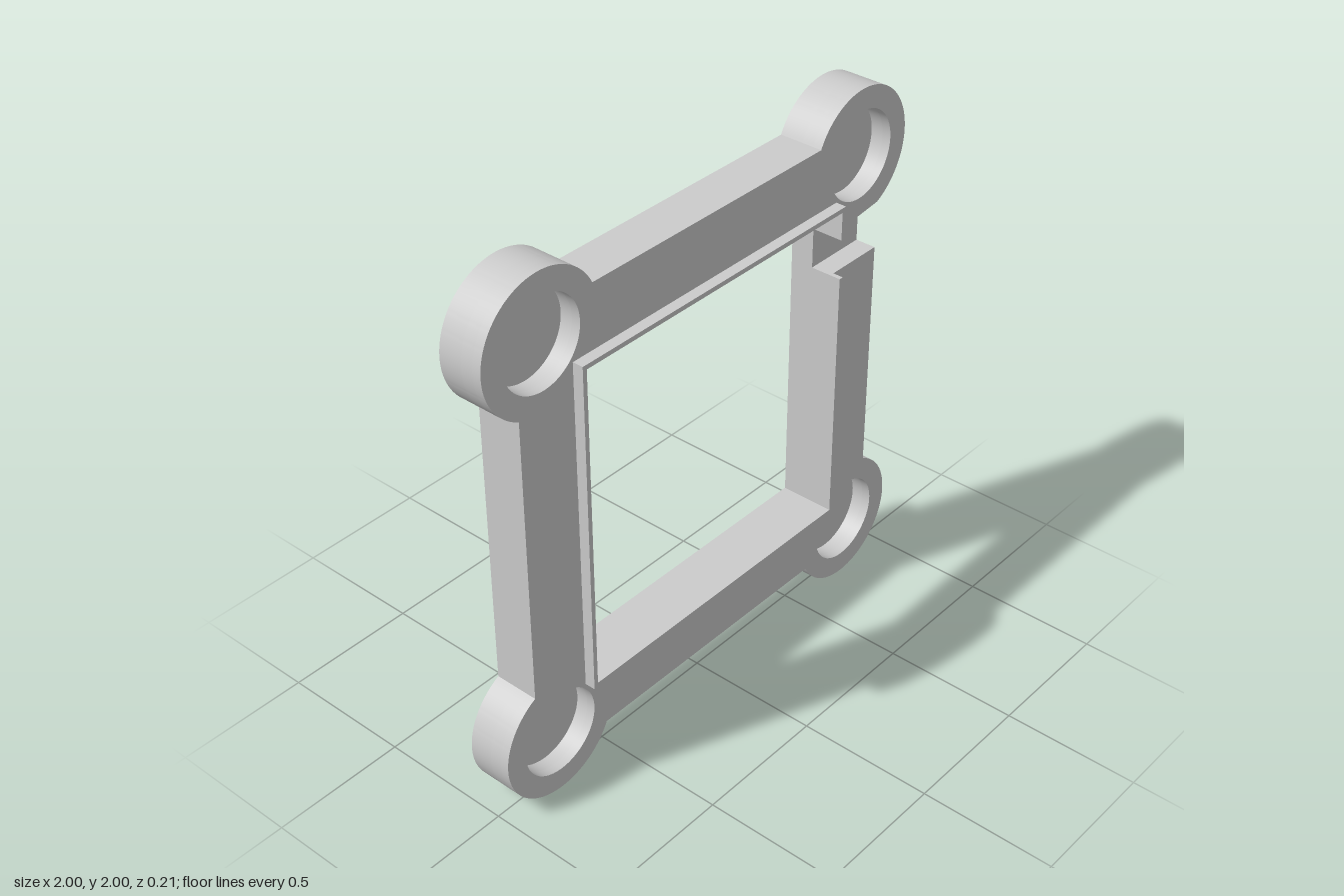
import * as THREE from 'three';
import { toCreasedNormals } from 'three/addons/utils/BufferGeometryUtils.js';

const BAR = 0.863;               // half width of the square frame
const OPEN = 0.615;              // half width of the opening
const LIP = 0.632;               // half width of the raised rim
const BOSS = 0.757, BOSS_R = 0.243, POCKET_R = 0.162;
const HOLE = 0.745, HOLE_R = 0.053;
const GAP_LOW = 0.36, GAP_HIGH = 0.51;   // wire channel on the +x bar
const Z_BACK = -0.103, Z_FLOOR = -0.015, Z_HOLE = 0.03, Z_FACE = 0.063, Z_LIP = 0.103;

const material = new THREE.MeshStandardMaterial({ color: 0xcccccc });

const circle = (x, y, r) => new THREE.Path().absarc(x, y, r, 0, Math.PI * 2, true);

// Square corners, counterclockwise from +x +y
const corners = [[1, 1], [-1, 1], [-1, -1], [1, -1]];

// Closes a contour either with a full opening or with a channel cut through the +x side
function cutOpening(shape, edge, channel) {
  if (channel) {
    shape.lineTo(edge, GAP_LOW);
    shape.lineTo(OPEN, GAP_LOW);
    [...corners].reverse().forEach(([x, y]) => shape.lineTo(x * OPEN, y * OPEN));
    shape.lineTo(OPEN, GAP_HIGH);
  } else {
    shape.holes.push(new THREE.Path([...corners].reverse().map(([x, y]) => new THREE.Vector2(x * OPEN, y * OPEN))));
  }
  shape.closePath();
  return shape;
}

// Square frame outline with a round boss at each corner
function frameShape({ channel, pockets, holes }) {
  const shape = new THREE.Shape();
  const sweep = Math.acos((BAR - BOSS) / BOSS_R);
  shape.moveTo(BAR, GAP_HIGH);
  corners.forEach(([x, y], i) => {
    const turn = i * Math.PI / 2;
    shape.absarc(x * BOSS, y * BOSS, BOSS_R, turn - sweep, turn + Math.PI / 2 + sweep, false);
  });
  cutOpening(shape, BAR, channel);
  if (pockets) corners.forEach(([x, y]) => shape.holes.push(circle(x * BOSS, y * BOSS, POCKET_R)));
  if (holes) [[1, 0], [0, 1], [-1, 0], [0, -1]].forEach(([x, y]) => shape.holes.push(circle(x * HOLE, y * HOLE, HOLE_R)));
  return shape;
}

function lipShape() {
  const shape = new THREE.Shape();
  shape.moveTo(LIP, GAP_HIGH);
  corners.forEach(([x, y]) => shape.lineTo(x * LIP, y * LIP));
  return cutOpening(shape, LIP, true);
}

function slab(name, shape, z0, z1) {
  const geometry = new THREE.ExtrudeGeometry(shape, { depth: z1 - z0, bevelEnabled: false, curveSegments: 48 });
  const mesh = new THREE.Mesh(toCreasedNormals(geometry, 0.5), material);
  mesh.name = name;
  mesh.position.set(0, 1, z0);
  return mesh;
}

export function createModel() {
  const model = new THREE.Group();
  model.name = 'squareFrame';
  model.add(
    // Solid back with the mounting holes; its front forms the pocket and channel floors
    slab('frameBack', frameShape({ holes: true }), Z_BACK, Z_FLOOR),
    // Pockets, channel and the blind ends of the holes
    slab('frameMiddle', frameShape({ channel: true, pockets: true, holes: true }), Z_FLOOR, Z_HOLE),
    slab('frameFace', frameShape({ channel: true, pockets: true }), Z_HOLE, Z_FACE),
    // Thin raised rim around the opening
    slab('openingLip', lipShape(), Z_FACE, Z_LIP)
  );
  return model;
}
